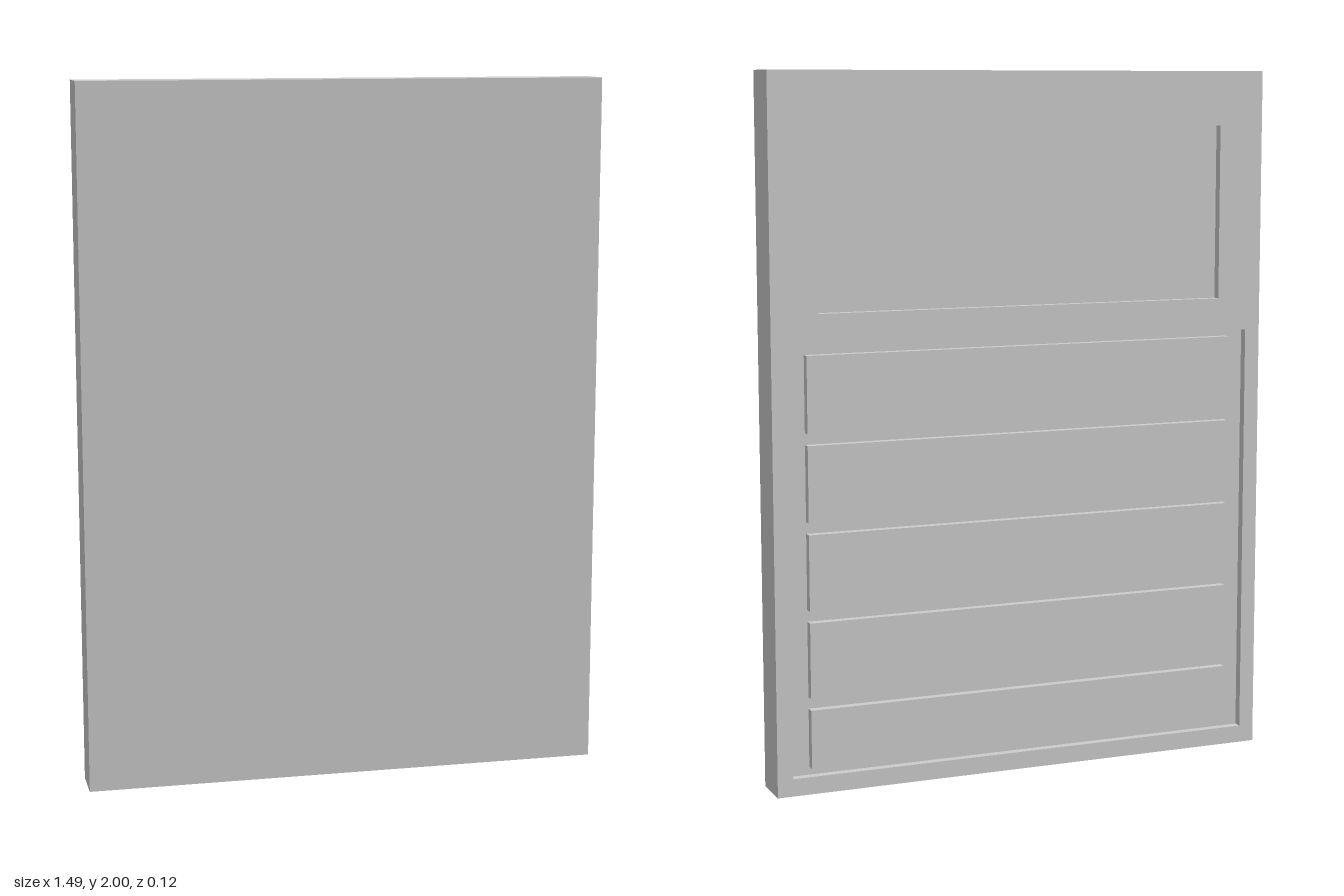
import * as THREE from 'three';

const W = 1.49, H = 2, D = 0.124, RECESS = 0.025;

export function createModel() {
  const group = new THREE.Group();
  const material = new THREE.MeshStandardMaterial({ color: 0xcccccc, flatShading: true });

  const add = (name, geometry, x, y, z) => {
    const mesh = new THREE.Mesh(geometry, material);
    mesh.name = name;
    mesh.position.set(x, y, z);
    group.add(mesh);
  };

  // Traces a rectangle centred on x = 0 between two heights
  const rect = (path, halfWidth, y0, y1) => {
    path.moveTo(-halfWidth, y0);
    path.lineTo(halfWidth, y0);
    path.lineTo(halfWidth, y1);
    path.lineTo(-halfWidth, y1);
    path.closePath();
    return path;
  };

  // Solid slab with a plain front; its back is the floor of the recesses
  add('slab', new THREE.BoxGeometry(W, H, D - RECESS), 0, H / 2, RECESS / 2);

  // Back frame with an upper window recess and a lower slat recess
  const frame = rect(new THREE.Shape(), W / 2, 0, H);
  frame.holes.push(rect(new THREE.Path(), 0.61, 1.345, 1.845));
  frame.holes.push(rect(new THREE.Path(), 0.70, 0.05, 1.25));
  add('backFrame', new THREE.ExtrudeGeometry(frame, { depth: RECESS, bevelEnabled: false }), 0, 0, -D / 2);

  // Five raised slats, flush with the frame; the lowest one is shorter
  for (let i = 0; i < 5; i++) {
    const height = i < 4 ? 0.215 : 0.168;
    const top = 1.232 - i * 0.248;
    add(`slat${i + 1}`, new THREE.BoxGeometry(1.29, height, RECESS), 0, top - height / 2, -D / 2 + RECESS / 2);
  }

  return group;
}
